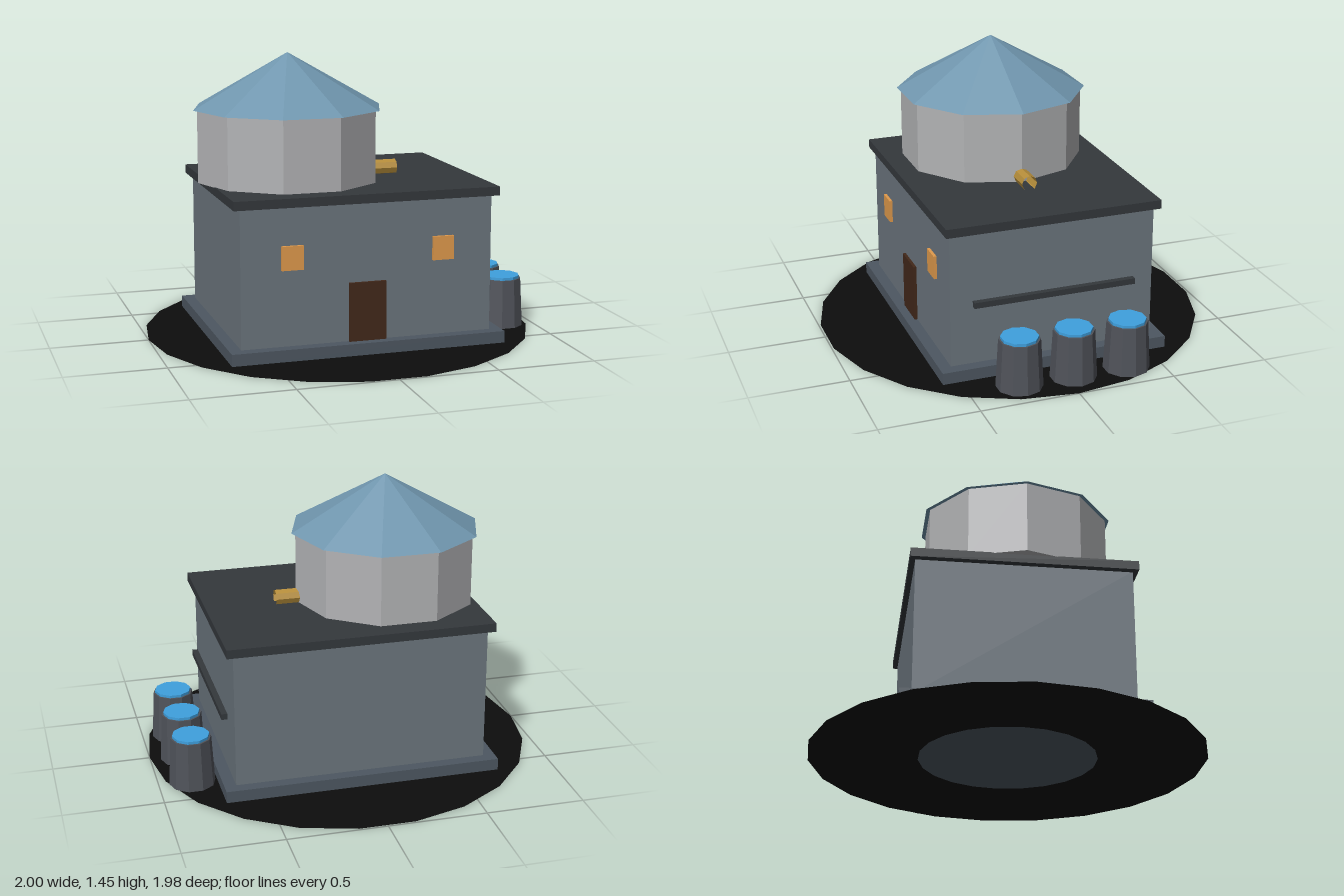
import * as THREE from 'three';

export function createModel() {
  const model = new THREE.Group();

  const mat = (color, side = THREE.FrontSide) => {
    const m = new THREE.MeshStandardMaterial({ color, side });
    m.flatShading = true;
    return m;
  };
  const add = (name, geometry, material, x, y, z, parent = model) => {
    const mesh = new THREE.Mesh(geometry, material);
    mesh.name = name;
    mesh.position.set(x, y, z);
    parent.add(mesh);
    return mesh;
  };
  // Box given by its size, centre and bottom height
  const box = (name, w, h, d, material, x, bottom, z) =>
    add(name, new THREE.BoxGeometry(w, h, d), material, x, bottom + h / 2, z);
  // Ten-sided drum with corners on the x axis, standing on a given height
  const drum = (name, rTop, rBottom, h, material, x, bottom, z, parent) =>
    add(name, new THREE.CylinderGeometry(rTop, rBottom, h, 10).rotateY(Math.PI / 2),
      material, x, bottom + h / 2, z, parent);

  const wall = mat(0x6b757d);
  const trim = mat(0x4d5761);
  const dark = mat(0x34383c);
  const glow = mat(0xe09a4c);
  const barrelWood = mat(0x50535a);
  const water = mat(0x3fa0de);

  // Flat ground ring
  add('groundRing', new THREE.RingGeometry(0.45, 1, 22).rotateX(-Math.PI / 2),
    mat(0x0d0d0d, THREE.DoubleSide), 0, 0, 0);

  // Main block
  box('foundation', 1.41, 0.06, 1.18, trim, 0, 0.004, 0);
  box('walls', 1.29, 0.70, 1.06, wall, 0, 0.06, 0);
  box('roofSlab', 1.36, 0.045, 1.11, dark, 0, 0.755, 0);

  // Door and windows on the front wall
  box('door', 0.19, 0.30, 0.03, mat(0x42281a), -0.005, 0.06, 0.53);
  for (const side of [-1, 1]) {
    box('window', 0.11, 0.12, 0.03, glow, side * 0.388, 0.445, 0.53);
  }

  // Rail beside the left wall
  box('rail', 0.03, 0.03, 0.84, dark, 0.675, 0.375, 0);

  // Round tower with a pointed roof
  drum('tower', 0.47, 0.47, 0.37, mat(0xb2b3b5), -0.26, 0.797, 0);
  add('towerRoof', new THREE.ConeGeometry(0.49, 0.28, 10).rotateY(Math.PI / 2),
    mat(0x7096ae), -0.26, 1.305, 0);

  // Open spout coming out of the tower
  add('spout', new THREE.CylinderGeometry(0.04, 0.04, 0.22, 8, 1, true).rotateZ(-Math.PI / 2),
    mat(0xb58d3a, THREE.DoubleSide), 0.21, 0.83, 0);

  // Row of water barrels
  for (const z of [-0.32, -0.038, 0.243]) {
    const barrel = new THREE.Group();
    barrel.name = 'barrel';
    barrel.position.set(0.83, 0, z);
    drum('barrelBody', 0.103, 0.117, 0.252, barrelWood, 0, 0.003, 0, barrel);
    drum('barrelWater', 0.094, 0.094, 0.03, water, 0, 0.239, 0, barrel);
    model.add(barrel);
  }

  return model;
}
